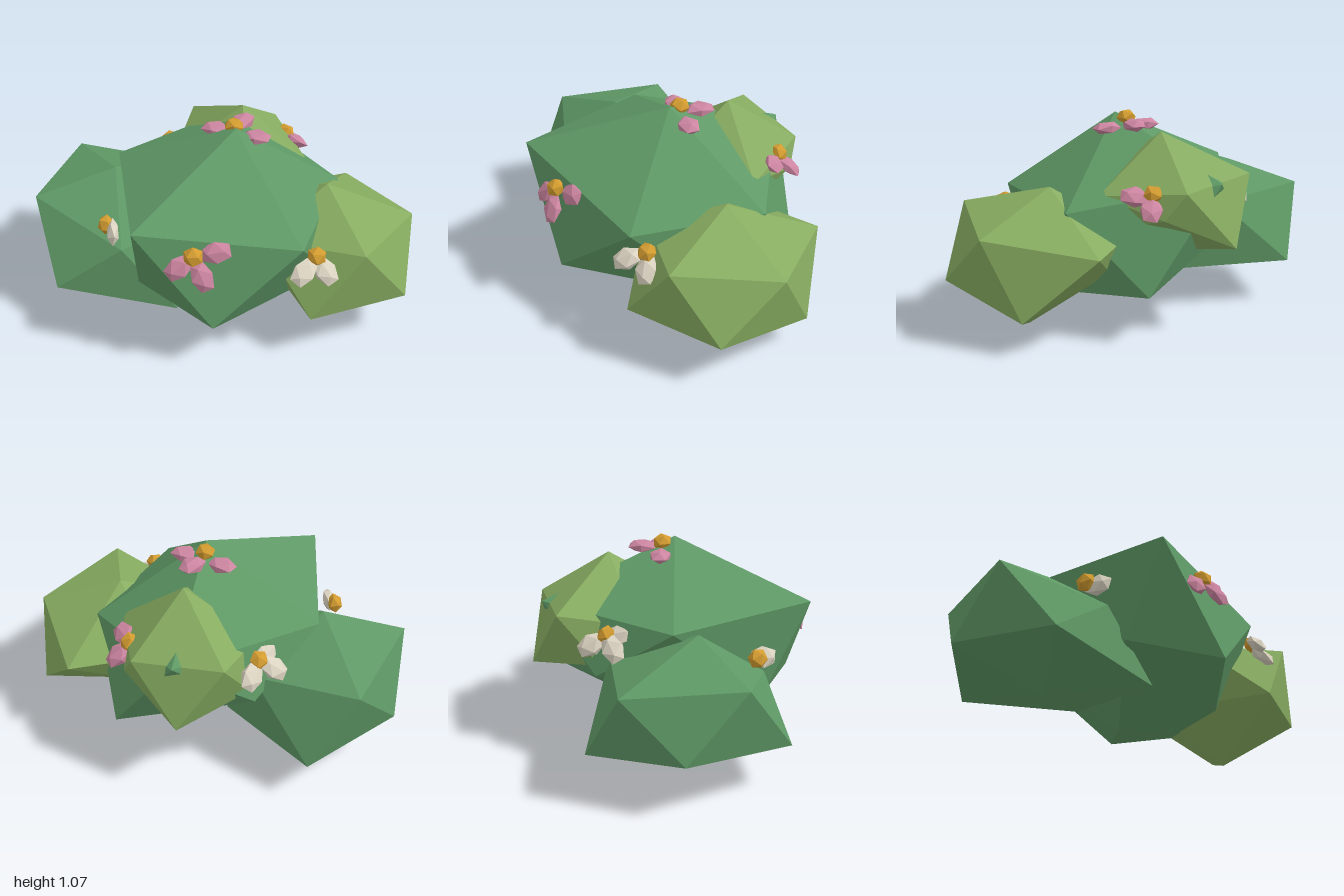
import * as THREE from 'three';

const mat = (name, color) => {
  const m = new THREE.MeshStandardMaterial({ color, flatShading: true });
  m.name = name;
  return m;
};

// Twenty-sided faceted clump: top point, upper ring, lower ring, bottom point
function clumpGeometry(top, upper, lower, bottom) {
  const pos = [];
  for (let i = 0; i < 5; i++) {
    const j = (i + 1) % 5;
    pos.push(
      ...top, ...upper[i], ...upper[j],
      ...upper[i], ...lower[i], ...upper[j],
      ...upper[j], ...lower[i], ...lower[j],
      ...lower[i], ...bottom, ...lower[j]);
  }
  const g = new THREE.BufferGeometry();
  g.setAttribute('position', new THREE.Float32BufferAttribute(pos, 3));
  g.computeVertexNormals();
  return g;
}

export function createModel() {
  const model = new THREE.Group();
  model.name = 'floweringBush';

  const darkLeaf = mat('dark leaf green', 0x5f9966);
  const lightLeaf = mat('light leaf green', 0x87ac61);
  const pink = mat('petal pink', 0xcc85a0);
  const cream = mat('petal cream', 0xdcd4c2);
  const gold = mat('flower gold', 0xd39c30);

  const addClump = (name, material, ...points) => {
    const mesh = new THREE.Mesh(clumpGeometry(...points), material);
    mesh.name = name;
    model.add(mesh);
  };

  // Leaf clumps; one corner of the main clump pokes out through the back clump
  addClump('mainClump', darkLeaf, [0.06, 1.06, 0.05],
    [[-0.43, 0.81, 0.62], [0.4, 0.66, 0.53], [0.615, 0.64, -0.14], [0.065, 0.775, -0.667], [-0.567, 0.78, -0.155]],
    [[-0.04, 0.275, 0.675], [0.58, 0.2, 0.1], [0.42, 0.245, -0.51], [-0.31, 0.49, -0.48], [-0.435, 0.33, 0.38]],
    [-0.05, 0.075, -0.02]);
  addClump('rightSideClump', darkLeaf, [-0.575, 0.77, -0.03],
    [[-0.52, 0.5, 0.34], [-0.15, 0.55, 0.1], [-0.28, 0.58, -0.4], [-0.83, 0.62, -0.5], [-0.99, 0.65, 0.08]],
    [[-0.24, 0.15, 0.38], [-0.12, 0.22, -0.25], [-0.61, 0.23, -0.615], [-1.0, 0.31, -0.23], [-0.87, 0.26, 0.355]],
    [-0.6, 0.1, 0]);
  addClump('leftSideClump', lightLeaf, [0.54, 0.735, 0.05],
    [[0.71, 0.62, 0.52], [1.0, 0.55, 0.05], [0.69, 0.48, -0.44], [0.25, 0.5, -0.25], [0.2, 0.55, 0.3]],
    [[0.95, 0.27, 0.39], [0.94, 0.17, -0.17], [0.42, 0.32, -0.25], [0.2, 0.25, 0], [0.45, 0.27, 0.59]],
    [0.585, 0, 0.17]);
  addClump('backClump', lightLeaf, [0.095, 0.998, -0.3],
    [[-0.19, 0.79, -0.645], [-0.28, 0.72, -0.25], [0.1, 0.8, 0], [0.45, 0.71, -0.2], [0.28, 0.755, -0.625]],
    [[-0.28, 0.53, -0.45], [-0.1, 0.5, -0.05], [0.4, 0.5, -0.1], [0.345, 0.62, -0.54], [0.03, 0.455, -0.737]],
    [0.1, 0.41, -0.43]);

  // Flowers: a faceted gold centre with flattened petals lying across the normal
  const bead = new THREE.IcosahedronGeometry(1, 0);
  const addFlower = (name, petalMat, centre, normal, petals) => {
    const flower = new THREE.Group();
    flower.name = name;
    const c = new THREE.Vector3(...centre);
    const n = new THREE.Vector3(...normal).normalize();
    const heart = new THREE.Mesh(bead, gold);
    heart.name = 'flowerCentre';
    heart.position.copy(c);
    heart.scale.set(0.053, 0.044, 0.053);
    heart.quaternion.setFromUnitVectors(new THREE.Vector3(0, 1, 0), n);
    flower.add(heart);
    for (const p of petals) {
      const petal = new THREE.Mesh(bead, petalMat);
      petal.name = 'petal';
      petal.position.set(...p);
      const along = petal.position.clone().sub(c);
      along.addScaledVector(n, -along.dot(n)).normalize();
      const across = new THREE.Vector3().crossVectors(along, n);
      petal.quaternion.setFromRotationMatrix(new THREE.Matrix4().makeBasis(along, n, across));
      petal.scale.set(0.083, 0.034, 0.062);
      flower.add(petal);
    }
    model.add(flower);
  };

  addFlower('topFlower', pink, [0.05, 1.037, -0.02], [0, 1, 0],
    [[-0.045, 0.995, -0.06], [0.095, 1.01, -0.115], [0.165, 0.99, 0.01]]);
  addFlower('frontFlower', pink, [-0.135, 0.69, 0.625], [-0.05, 0.5, 0.86],
    [[-0.205, 0.63, 0.635], [-0.025, 0.695, 0.595], [-0.09, 0.605, 0.675]]);
  addFlower('backLeftFlower', pink, [0.335, 0.74, -0.46], [0.35, 0.78, -0.5],
    [[0.385, 0.725, -0.385], [0.385, 0.675, -0.49]]);
  addFlower('frontLeftFlower', cream, [0.47, 0.59, 0.48], [0.15, 0.75, 0.65],
    [[0.405, 0.545, 0.555], [0.515, 0.525, 0.515]]);
  addFlower('frontRightFlower', cream, [-0.6, 0.615, 0.27], [-0.95, 0.2, 0.2],
    [[-0.562, 0.6, 0.315]]);
  addFlower('backRightFlower', cream, [-0.315, 0.71, -0.42], [-0.6, 0.6, -0.5],
    [[-0.295, 0.66, -0.495], [-0.39, 0.665, -0.41], [-0.335, 0.715, -0.355]]);

  return model;
}
